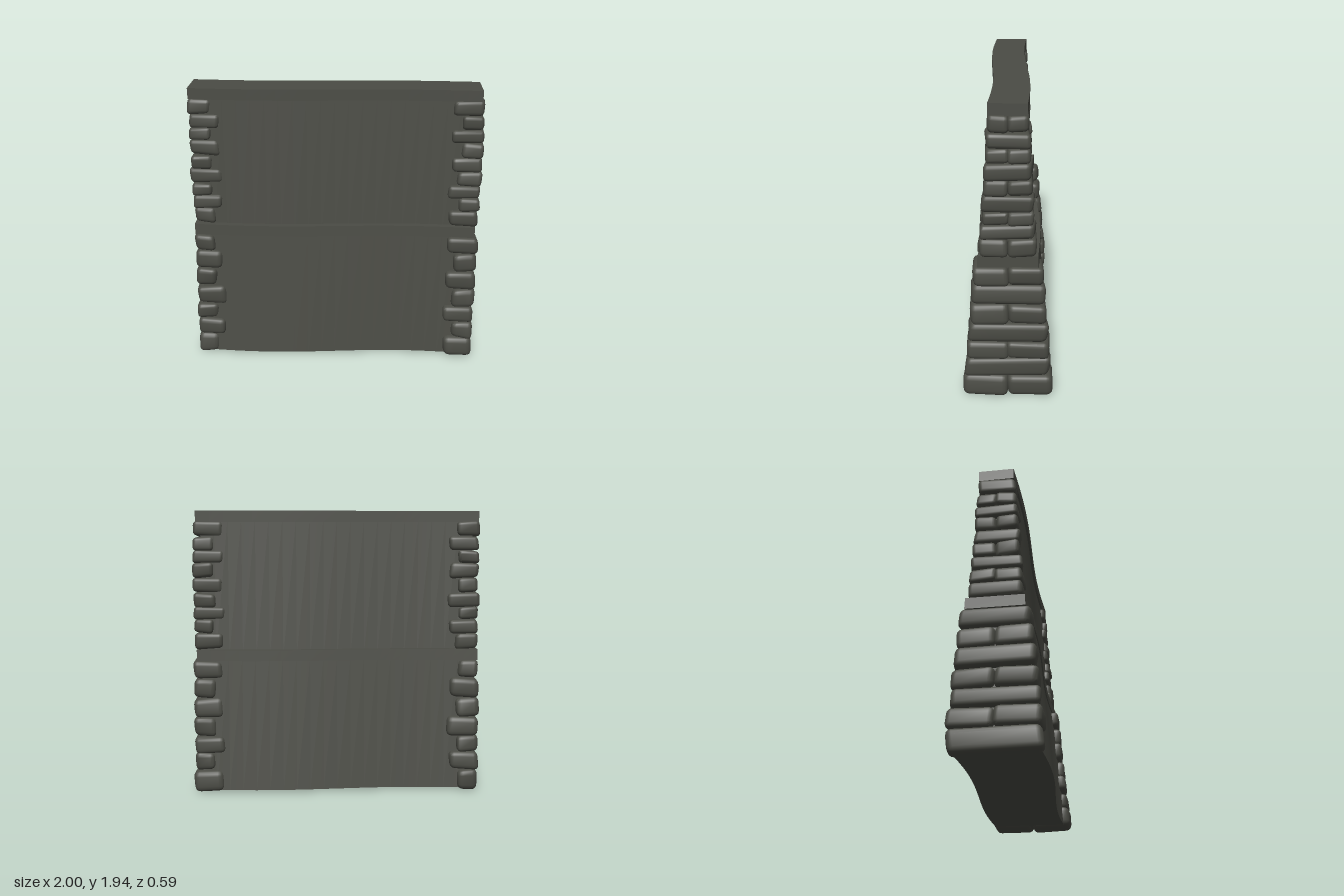
import * as THREE from 'three';
import { mergeVertices, toCreasedNormals } from 'three/addons/utils/BufferGeometryUtils.js';
import { RoundedBoxGeometry } from 'three/addons/geometries/RoundedBoxGeometry.js';

const stoneGrey = new THREE.MeshStandardMaterial({ color: 0x4b4c45 });
stoneGrey.name = 'stoneGrey';

// Small seeded generator, returns -1..1
function makeRandom(seed) {
  return () => {
    seed = (seed * 16807) % 2147483647;
    return (seed / 2147483647) * 2 - 1;
  };
}

// Gentle S-bend of the wall along its length
const bend = (x) => -Math.sin((x * Math.PI) / 1.05);

// Straight slab from y0 to y1, tapering in depth and bent along x
function bentSlab(name, x0, x1, y0, y1, half0, half1, amp0, amp1) {
  const geo = new THREE.BoxGeometry(x1 - x0, y1 - y0, 2, 20, 1, 1);
  geo.translate((x0 + x1) / 2, (y0 + y1) / 2, 0);
  const p = geo.attributes.position;
  for (let i = 0; i < p.count; i++) {
    const t = (p.getY(i) - y0) / (y1 - y0);
    const half = THREE.MathUtils.lerp(half0, half1, t);
    const amp = THREE.MathUtils.lerp(amp0, amp1, t);
    p.setZ(i, p.getZ(i) * half + amp * bend(p.getX(i)));
  }
  const mesh = new THREE.Mesh(toCreasedNormals(geo, 0.6), stoneGrey);
  mesh.name = name;
  return mesh;
}

// Worn block: a rounded box with its corners skewed and its faces slightly bulged
function wornStone(w, h, d, rnd) {
  let geo = new RoundedBoxGeometry(w, h, d, 2, Math.min(w, h, d) * 0.27);
  geo.deleteAttribute('normal');
  geo.deleteAttribute('uv');
  geo.clearGroups();
  geo = mergeVertices(geo, 1e-4);
  const k = Array.from({ length: 8 }, rnd);
  const p = geo.attributes.position;
  for (let i = 0; i < p.count; i++) {
    const u = (p.getX(i) / w) * 2, v = (p.getY(i) / h) * 2, s = (p.getZ(i) / d) * 2;
    p.setXYZ(i,
      p.getX(i) + w * (0.035 * k[0] * v + 0.03 * k[1] * s * u),
      p.getY(i) + h * (0.05 * k[2] * u + 0.05 * k[3] * s + 0.05 * k[4] * u * v),
      p.getZ(i) + d * (0.02 * k[5] * v + 0.025 * k[6] * u + 0.02 * k[7] * u * v));
  }
  return toCreasedNormals(geo, 0.75);
}

// Half depth of the stacked end stones at height y
const stoneHalf = (y) => (y < 0.95 ? 0.292 - 0.088 * y : 0.17 - 0.056 * (y - 1));

export function createModel() {
  const group = new THREE.Group();
  group.name = 'gardenWall';

  // Plastered wall panels and the two projecting courses
  group.add(bentSlab('lowerWall', -0.94, 0.93, 0.025, 0.95, 0.258, 0.178, 0.031, 0.024));
  group.add(bentSlab('upperWall', -0.94, 0.93, 0.95, 1.9, 0.146, 0.1, 0.024, 0.02));
  group.add(bentSlab('ledge', -0.98, 0.965, 0.925, 1.0, 0.188, 0.184, 0.024, 0.024));
  group.add(bentSlab('capstone', -0.98, 0.965, 1.875, 1.95, 0.115, 0.115, 0.02, 0.02));

  // Heights of the stone courses below and above the ledge
  const tiers = [
    [0.012, 0.16, 0.285, 0.4, 0.535, 0.67, 0.805, 0.925],
    [1.0, 1.11, 1.205, 1.29, 1.39, 1.49, 1.595, 1.68, 1.775, 1.878],
  ];
  const rnd = makeRandom(4711);

  // Quoins: pairs of blocks alternate with one through-stone
  for (const side of [-1, 1]) {
    const quoins = new THREE.Group();
    quoins.name = side > 0 ? 'leftQuoins' : 'rightQuoins';
    for (const levels of tiers) {
      for (let i = 0; i < levels.length - 1; i++) {
        const wide = (i % 2 === 0) === (side > 0);
        const y = (levels[i] + levels[i + 1]) / 2;
        const h = levels[i + 1] - levels[i];
        const half = stoneHalf(y) + 0.006 * rnd();
        const outer = 0.988 + 0.006 * rnd();
        const inner = (wide ? 0.782 : 0.842) + 0.012 * rnd();
        const count = wide ? 2 : 1;
        for (let j = 0; j < count; j++) {
          const d = (2 * half) / count;
          const stone = new THREE.Mesh(wornStone(outer - inner, h, d + 0.006, rnd), stoneGrey);
          const z = count === 2 ? (j - 0.5) * d : 0;
          stone.position.set((side * (outer + inner)) / 2, y, z + 0.015 * bend(side * 0.9));
          stone.name = count === 2 ? 'cornerStone' : 'throughStone';
          quoins.add(stone);
        }
      }
    }
    group.add(quoins);
  }
  return group;
}
